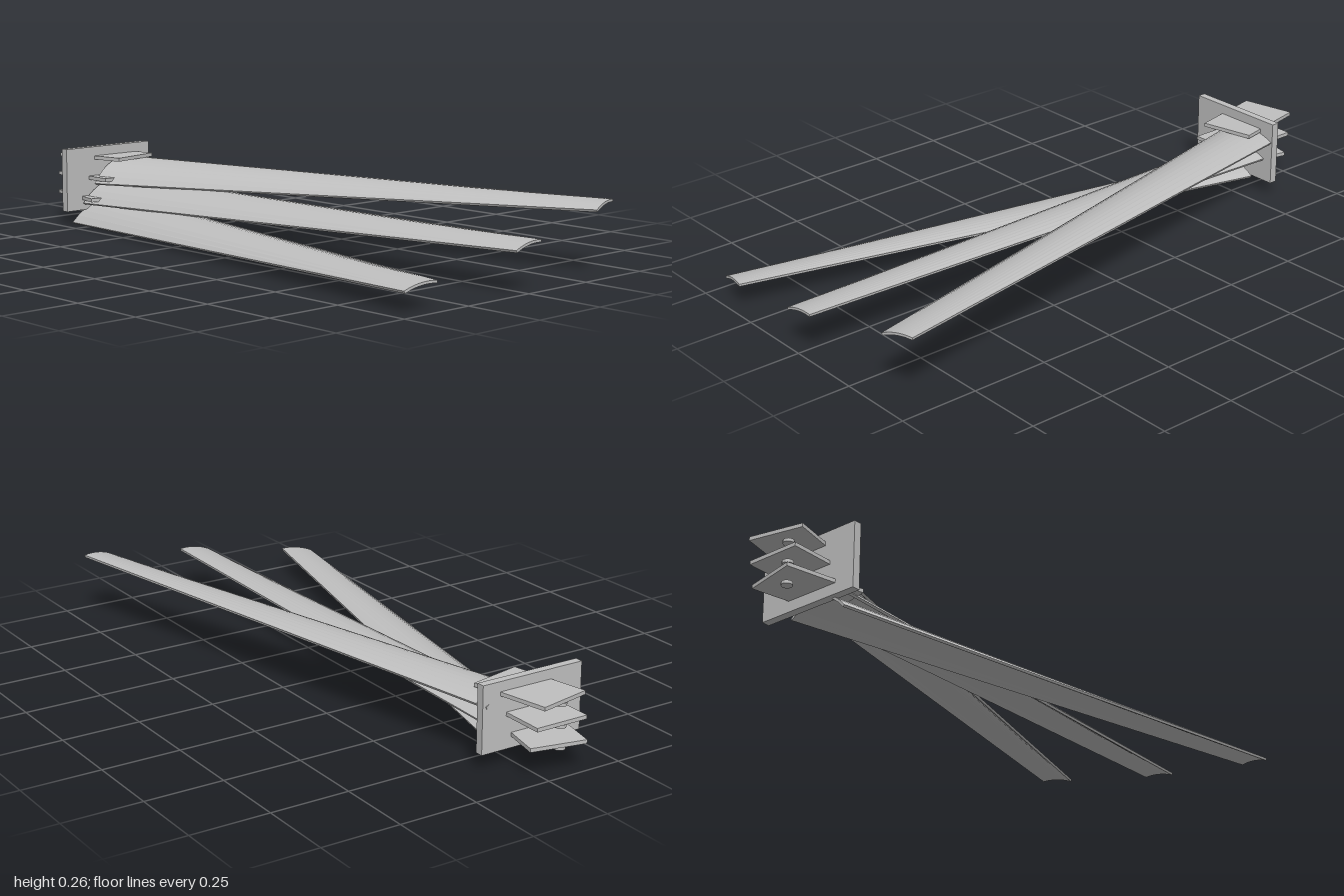
import * as THREE from 'three';

const grey = new THREE.MeshStandardMaterial({ color: 0xbfbfbf, flatShading: true });
grey.name = 'plain grey';

// Tapered blade cut from a thin tube wall: runs along +x, its crest lies on y = 0
function bladeGeometry() {
  const R = 0.21, thick = 0.008, crest = -0.034, N = 12;
  const ring = (x, half) => {
    const outer = [], inner = [];
    for (let i = 0; i <= N; i++) {
      const u = -half + (2 * half * i) / N - crest;
      const a = Math.asin(u / R);
      outer.push([x, R * Math.cos(a) - R, u + crest]);
      inner.push([x, (R - thick) * Math.cos(a) - R, (R - thick) * Math.sin(a) + crest]);
    }
    return [...outer, ...inner.reverse()];
  };
  const A = ring(0.13, 0.128), B = ring(1.935, 0.055), M = A.length, pos = [];
  const quad = (a, b, c, d) => pos.push(...a, ...b, ...c, ...a, ...c, ...d);
  for (let i = 0; i < M; i++) {
    const j = (i + 1) % M;
    quad(A[i], A[j], B[j], B[i]);
  }
  // end caps
  for (let i = 0; i < N; i++) {
    const p = M - 1 - i, q = p - 1;
    quad(B[i], B[i + 1], B[q], B[p]);
    quad(A[p], A[q], A[i + 1], A[i]);
  }
  const g = new THREE.BufferGeometry();
  g.setAttribute('position', new THREE.Float32BufferAttribute(pos, 3));
  g.computeVertexNormals();
  return g;
}

export function createModel() {
  const model = new THREE.Group();
  model.name = 'bladeFan';
  const add = (name, geometry, x, y, z, turn = 0) => {
    const m = new THREE.Mesh(geometry, grey);
    m.name = name;
    m.position.set(x, y, z);
    m.rotation.y = THREE.MathUtils.degToRad(turn);
    model.add(m);
  };

  // upright plate that carries the blades
  add('mountingPlate', new THREE.BoxGeometry(0.026, 0.21, 0.35), -0.828, 0.155, 0.06);

  const blade = bladeGeometry();
  const tab = new THREE.BoxGeometry(0.258, 0.012, 0.176).translate(0.088, 0, 0);
  const disc = new THREE.CylinderGeometry(0.017, 0.017, 0.01, 16);

  // three levels, each turned 12 degrees from the next
  ['upper', 'middle', 'lower'].forEach((level, i) => {
    const y = 0.217 - 0.066 * i, turn = 12 - 12 * i;
    add(level + 'Blade', blade, -0.94, y, 0.05, turn + 1.6);
    add(level + 'Tab', tab, -0.94, y + 0.006, 0.056, turn);
    add(level + 'Disc', disc, -0.943, y - 0.017, 0.08);
  });
  return model;
}
